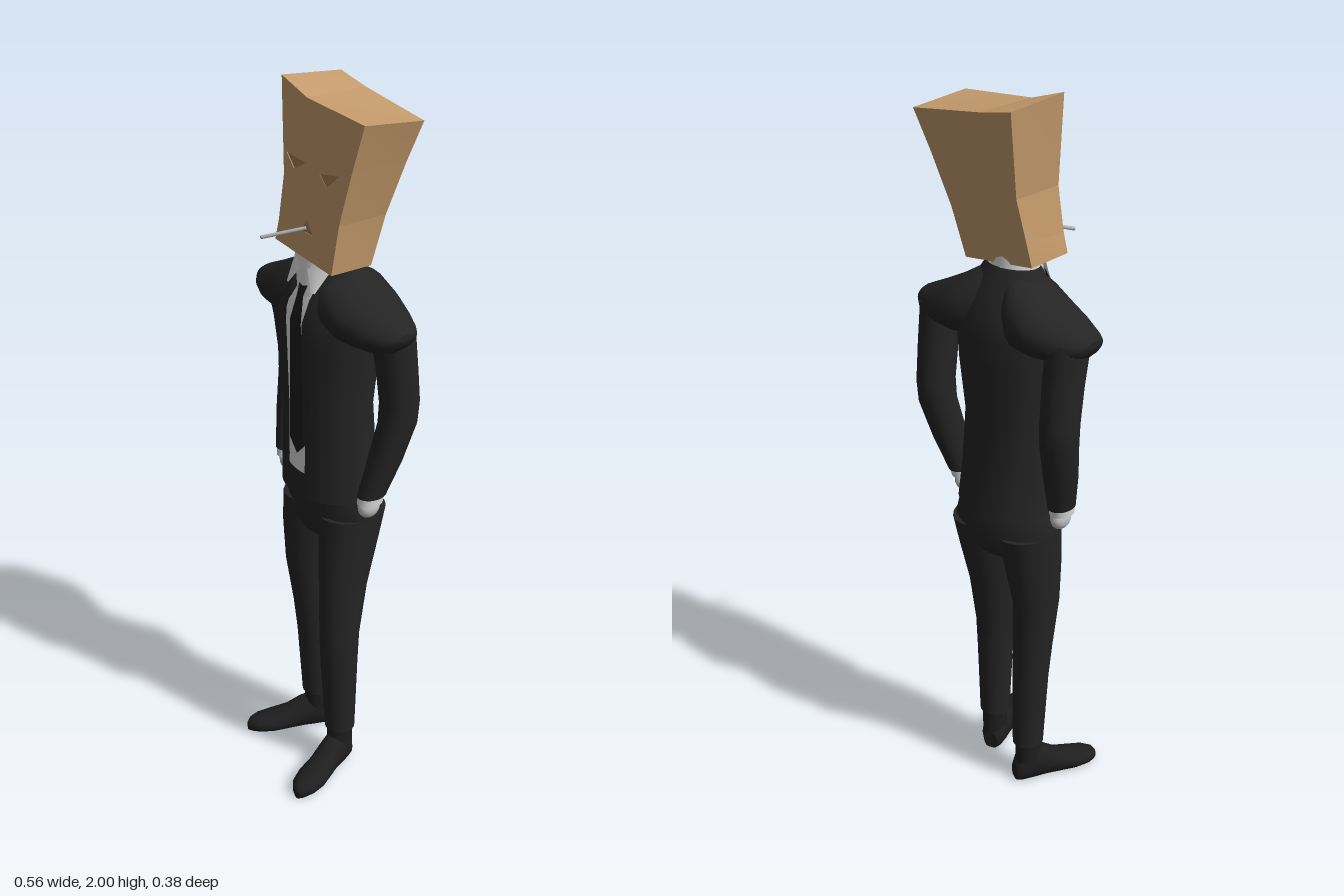
import * as THREE from 'three';

const DS = THREE.DoubleSide;
function material(name, color, side = THREE.FrontSide) {
  const m = new THREE.MeshStandardMaterial({ color, side });
  m.name = name;
  return m;
}

// Smooth skin over elliptical sections [y, cx, cz, rx, rz], listed bottom to top.
// gaps (half widths per row) leaves the front open.
function loft(rows, { seg = 20, gaps = null, caps = true } = {}) {
  const pos = [], idx = [], n = gaps ? seg + 1 : seg;
  rows.forEach(([y, cx, cz, rx, rz], i) => {
    const g = gaps ? Math.asin(Math.min(0.95, gaps[i] / rx)) : 0;
    for (let j = 0; j < n; j++) {
      const a = g + (Math.PI * 2 - 2 * g) * j / seg;
      pos.push(cx + rx * Math.sin(a), y, cz + rz * Math.cos(a));
    }
  });
  for (let i = 0; i < rows.length - 1; i++) for (let j = 0; j < seg; j++) {
    const k = (j + 1) % n, a = i * n + j, b = i * n + k;
    idx.push(a, b, b + n, a, b + n, a + n);
  }
  if (caps && !gaps) [0, rows.length - 1].forEach((i) => {
    const base = pos.length / 3, [y, cx, cz] = rows[i];
    pos.push(cx, y, cz);
    for (let j = 0; j < n; j++) pos.push(...pos.slice((i * n + j) * 3, (i * n + j) * 3 + 3));
    for (let j = 0; j < n; j++) {
      const p = base + 1 + j, q = base + 1 + (j + 1) % n;
      idx.push(base, i ? p : q, i ? q : p);
    }
  });
  return build(pos, idx);
}

function build(pos, idx) {
  const g = new THREE.BufferGeometry();
  g.setAttribute('position', new THREE.Float32BufferAttribute(pos, 3));
  g.setIndex(idx);
  g.computeVertexNormals();
  return g;
}

// Jacket body: [y, half width, front z, back z]
const BODY = [
  [0.89, 0.149, 0.058, -0.187], [1.0, 0.142, 0.056, -0.17], [1.15, 0.132, 0.056, -0.162],
  [1.3, 0.142, 0.06, -0.178], [1.39, 0.15, 0.062, -0.178], [1.44, 0.145, 0.055, -0.168],
  [1.5, 0.115, 0.032, -0.14], [1.56, 0.078, 0.005, -0.1],
];
const GAPS = [0.033, 0.032, 0.032, 0.034, 0.036, 0.045, 0.055, 0.062];
const bodyRow = ([y, w, f, b], inset = 0) => [y, 0, (f + b) / 2, w - inset, (f - b) / 2 - inset];

function frontZ(x, y) {
  let i = 0;
  while (i < BODY.length - 2 && y > BODY[i + 1][0]) i++;
  const A = BODY[i], B = BODY[i + 1];
  const t = THREE.MathUtils.clamp((y - A[0]) / (B[0] - A[0]), 0, 1);
  const [, , c, w, d] = bodyRow(A.map((v, k) => v + (B[k] - v) * t));
  return c + d * Math.sqrt(Math.max(0.25, 1 - (x / w) ** 2));
}

// Thin cloth strip lying on the chest, rows [y, xa, xb] from top to bottom
function strip(rows, side, off, cols = 4) {
  const pos = [], idx = [];
  rows.forEach(([y, a, b], i) => {
    for (let j = 0; j <= cols; j++) {
      const x = (a + (b - a) * j / cols) * side;
      pos.push(x, y, frontZ(x, y) + off);
      if (i && j) {
        const p = i * (cols + 1) + j, q = p - cols - 1;
        if (side > 0) idx.push(q - 1, p - 1, p, q - 1, p, q);
        else idx.push(q - 1, p, p - 1, q - 1, q, p);
      }
    }
  });
  return build(pos, idx);
}

export function createModel() {
  const model = new THREE.Group();
  const suit = material('suit black', 0x242424, DS);
  const tieBlack = material('tie black', 0x1c1c1c, DS);
  const shoeBlack = material('shoe black', 0x1e1e1e);
  const white = material('shirt white', 0xdedede, DS);
  const skin = material('pale hand', 0xc8c8c8);
  const paper = material('paper tan', 0xc69c6d, DS);
  const paperDark = material('paper shade', 0xa57c50, DS);
  const grey = material('cigarette grey', 0xb4b4b4);
  const add = (name, geo, mat) => {
    const m = new THREE.Mesh(geo, mat);
    m.name = name;
    model.add(m);
    return m;
  };

  // Torso clothing
  add('jacket', loft(BODY.map((r) => bodyRow(r)), { seg: 32, gaps: GAPS }), suit);
  add('shirt', loft([[0.955, 0.14, 0.056, -0.17], ...BODY.slice(1)].map((r) => bodyRow(r, 0.012)), { seg: 32 }), white);
  add('neckCollar', loft([[1.46, 0, -0.04, 0.072, 0.075], [1.6, -0.005, -0.035, 0.064, 0.06]]), white);
  add('tie', strip([[1.51, -0.018, 0.018], [1.47, -0.012, 0.012], [1.4, -0.022, 0.022], [1.25, -0.026, 0.026],
    [1.05, -0.032, 0.032], [1.015, 0, 0]], 1, -0.002), tieBlack);

  // Trousers
  add('trouserSeat', loft([
    [0.755, 0, -0.07, 0.11, 0.08], [0.78, 0, -0.072, 0.145, 0.097], [0.83, 0, -0.077, 0.157, 0.104],
    [0.885, 0, -0.07, 0.147, 0.1], [0.96, 0, -0.06, 0.13, 0.093],
  ], { seg: 28 }), suit);
  const legs = {
    left: [[0.125, 0.1, -0.02, 0.043, 0.043], [0.35, 0.1, -0.015, 0.05, 0.054], [0.45, 0.098, -0.017, 0.053, 0.058],
      [0.6, 0.09, -0.035, 0.06, 0.071], [0.74, 0.08, -0.062, 0.072, 0.09], [0.83, 0.077, -0.077, 0.078, 0.1]],
    right: [[0.125, -0.076, -0.08, 0.043, 0.044], [0.35, -0.08, -0.074, 0.05, 0.052], [0.45, -0.083, -0.068, 0.054, 0.056],
      [0.6, -0.087, -0.058, 0.06, 0.07], [0.74, -0.08, -0.065, 0.072, 0.09], [0.83, -0.077, -0.077, 0.078, 0.1]],
  };

  // Shoe sections along its length: [distance, half width, height]
  const shoe = [[-0.01, 0.022, 0.05], [0.005, 0.034, 0.085], [0.04, 0.038, 0.105], [0.08, 0.037, 0.095], [0.12, 0.04, 0.068],
    [0.17, 0.045, 0.052], [0.21, 0.038, 0.046], [0.235, 0.022, 0.038], [0.245, 0.008, 0.025]];
  const feet = { left: [0.09, -0.045, 0.3], right: [-0.062, -0.108, -0.47] };

  for (const [name, s] of [['left', 1], ['right', -1]]) {
    add(name + 'TrouserLeg', loft(legs[name]), suit);

    const sg = loft(shoe.map(([d, w, h]) => [d, 0, -h * 0.45, w, h * 0.55]), { seg: 16 });
    sg.rotateX(Math.PI / 2);
    const p = sg.attributes.position;
    for (let i = 0; i < p.count; i++) p.setY(i, Math.max(0, p.getY(i)));
    sg.computeVertexNormals();
    const [fx, fz, turn] = feet[name];
    const sm = add(name + 'Shoe', sg, shoeBlack);
    sm.position.set(fx, 0, fz);
    sm.rotation.y = turn;
    const [, ax, az] = legs[name][0];
    add(name + 'Sock', loft([[0.05, ax, az, 0.034, 0.038], [0.14, ax, az, 0.036, 0.037]]), shoeBlack);

    // Padded shoulder: [x, top, bottom, z centre, z radius]
    const pad = [[0.03, 1.555, 1.36, -0.055, 0.08], [0.08, 1.54, 1.35, -0.066, 0.112], [0.14, 1.503, 1.35, -0.071, 0.106],
      [0.2, 1.472, 1.355, -0.07, 0.088], [0.25, 1.448, 1.37, -0.07, 0.062], [0.272, 1.437, 1.39, -0.07, 0.042],
      [0.279, 1.428, 1.41, -0.07, 0.025]];
    const pg = loft(pad.map(([x, t, b, cz, rz]) => [x, -s * (t + b) / 2, cz, (t - b) / 2, rz]));
    pg.rotateZ(-s * Math.PI / 2);
    add(name + 'Shoulder', pg, suit);

    add(name + 'Sleeve', loft([[0.925, 0.174, -0.06, 0.033, 0.043], [1.03, 0.192, -0.088, 0.043, 0.05],
      [1.14, 0.207, -0.115, 0.049, 0.054], [1.2, 0.21, -0.117, 0.05, 0.055], [1.3, 0.21, -0.105, 0.052, 0.056],
      [1.42, 0.21, -0.085, 0.054, 0.062]].map(([y, x, ...r]) => [y, s * x, ...r])), suit);
    add(name + 'Cuff', loft([[0.902, s * 0.172, -0.056, 0.03, 0.038], [0.93, s * 0.174, -0.06, 0.031, 0.039]]), white);
    const hand = add(name + 'Hand', new THREE.SphereGeometry(1, 14, 10), skin);
    hand.scale.set(0.024, 0.034, 0.034);
    hand.position.set(s * 0.168, 0.888, -0.056);

    // Notched lapel and shirt collar flap
    add(name + 'Lapel', strip([[1.54, 0.055, 0.075], [1.47, 0.042, 0.095], [1.41, 0.034, 0.108], [1.36, 0.033, 0.085],
      [1.335, 0.033, 0.1], [1.25, 0.032, 0.088], [1.15, 0.031, 0.058], [1.05, 0.031, 0.034]], s, 0.007), suit);
    add(name + 'CollarFlap', strip([[1.575, 0.022, 0.07], [1.54, 0.012, 0.07], [1.49, 0.046, 0.056]], s, 0.014), white);
  }

  // Crumpled paper bag: matching front and back outlines
  const zf = (y) => 0.034 - 0.08 * (y - 1.57), zb = (y) => -0.09 - 0.19 * (y - 1.555);
  const front = [[-0.12, 2], [-0.02, 1.968], [0.195, 1.952], [0.163, 1.83], [0.13, 1.69], [0.115, 1.558],
    [-0.11, 1.585], [-0.1, 1.64], [-0.09, 1.76]];
  const back = [[-0.1, 1.985], [0, 1.966], [0.218, 1.937], [0.182, 1.83], [0.142, 1.69], [0.12, 1.555],
    [-0.1, 1.58], [-0.094, 1.64], [-0.08, 1.76]];
  const holes = [
    ['rightEye', [[-0.085, 1.818], [-0.008, 1.81], [-0.052, 1.783]]],
    ['leftEye', [[0.045, 1.797], [0.118, 1.81], [0.075, 1.77]]],
    ['mouth', [[-0.015, 1.637], [0.01, 1.67], [0.035, 1.637]]],
  ];
  const toShape = (pts) => new THREE.Shape(pts.map(([x, y]) => new THREE.Vector2(x, y)));
  function panel(shape, z) {
    const g = new THREE.ShapeGeometry(shape), p = g.attributes.position;
    for (let i = 0; i < p.count; i++) p.setZ(i, z(p.getY(i)));
    g.computeVertexNormals();
    return g;
  }
  const face = toShape(front);
  face.holes = holes.map(([, pts]) => toShape(pts));
  add('bagFront', panel(face, zf), paper);
  const rear = panel(toShape(back), zb);
  rear.setIndex([...rear.index.array].reverse());
  rear.computeVertexNormals();
  add('bagBack', rear, paper);
  const sides = [], order = [];
  front.forEach((f, i) => {
    const k = (i + 1) % front.length, o = sides.length / 3;
    sides.push(...f, zf(f[1]), ...front[k], zf(front[k][1]), ...back[k], zb(back[k][1]), ...back[i], zb(back[i][1]));
    order.push(o, o + 1, o + 2, o, o + 2, o + 3);
  });
  add('bagSides', build(sides, order), paper);

  // Recessed eyes and mouth
  for (const [name, pts] of holes) {
    const cx = (pts[0][0] + pts[1][0] + pts[2][0]) / 3, cy = (pts[0][1] + pts[1][1] + pts[2][1]) / 3;
    const big = pts.map(([x, y]) => [cx + (x - cx) * 1.4, cy + (y - cy) * 1.4]);
    add(name, panel(toShape(big), (y) => zf(y) - 0.008), paperDark);
  }

  // Cigarette
  const from = new THREE.Vector3(0, 1.645, 0.02), to = new THREE.Vector3(-0.071, 1.62, 0.105);
  add('cigarette', new THREE.TubeGeometry(new THREE.LineCurve3(from, to), 1, 0.005, 8), grey);
  const tip = add('cigaretteTip', new THREE.SphereGeometry(0.005, 8, 6), grey);
  tip.position.copy(to);
  return model;
}
